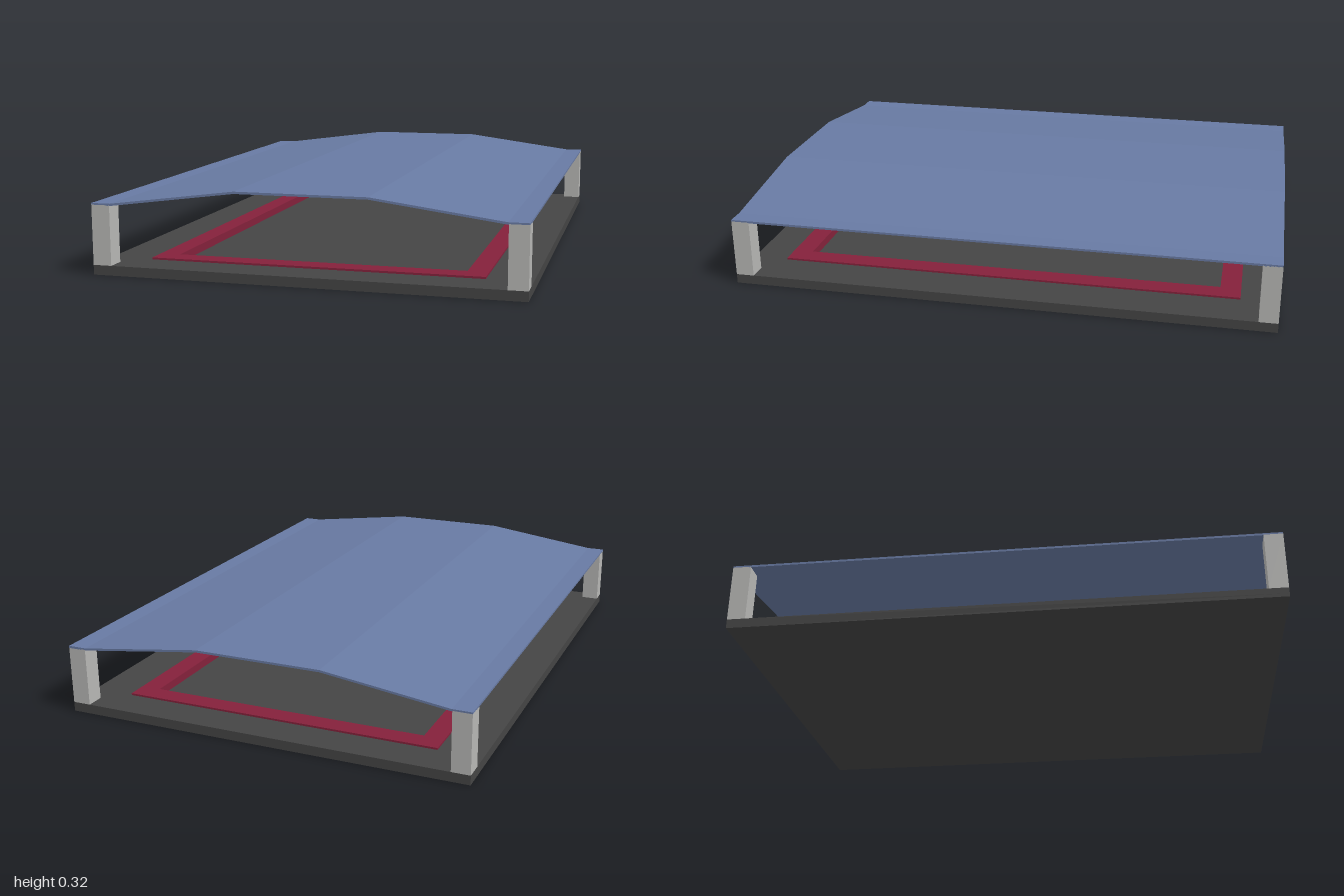
import * as THREE from 'three';

const W = 0.765, D = 1; // half width and half depth

function material(name, color) {
  const m = new THREE.MeshStandardMaterial({ color });
  m.name = name;
  return m;
}

// Rectangular frame lying flat between two heights, with an open middle
function frameGeometry(outX, outZ, inX, inZ, y0, y1) {
  const rect = (x, z) => [[-x, -z], [x, -z], [x, z], [-x, z]].map(p => new THREE.Vector2(...p));
  const shape = new THREE.Shape(rect(outX, outZ));
  shape.holes.push(new THREE.Path(rect(inX, inZ).reverse()));
  return new THREE.ExtrudeGeometry(shape, { depth: y1 - y0, bevelEnabled: false })
    .rotateX(-Math.PI / 2).translate(0, y0, 0);
}

export function createModel() {
  const model = new THREE.Group();
  const gray = material('dark gray', 0x444444);
  const red = material('dark red', 0x84213b);
  const silver = material('light gray', 0xb6b6b4);
  const blue = material('slate blue', 0x687aa3);

  function add(name, geometry, mat) {
    const mesh = new THREE.Mesh(geometry, mat);
    mesh.name = name;
    model.add(mesh);
    return mesh;
  }

  // Base: floor plate with a raised border around a shallow recess
  add('floor', new THREE.BoxGeometry(2 * W, 0.012, 2 * D).translate(0, 0.006, 0), gray);
  add('baseBorder', frameGeometry(W, D, 0.56, 0.82, 0.012, 0.035), gray);

  // Red trim lining the recess
  add('trimTop', frameGeometry(0.605, 0.865, 0.53, 0.79, 0.035, 0.042), red);
  add('trimLining', frameGeometry(0.56, 0.82, 0.53, 0.79, 0.012, 0.035), red);

  // Corner posts
  const post = new THREE.BoxGeometry(0.068, 0.215, 0.068);
  for (const x of [-1, 1]) {
    for (const z of [-1, 1]) {
      add('cornerPost', post, silver).position.set(x * (W - 0.034), 0.1425, z * (D - 0.034));
    }
  }

  // Roof: thin folded sheet running front to back
  const top = [[-W, 0.256], [-0.695, 0.256], [-0.235, 0.317], [0.235, 0.317], [0.695, 0.256], [W, 0.256]];
  const bottom = top.map(([x, y]) => [x, y - 0.008]).reverse();
  const profile = new THREE.Shape([...bottom, ...top].map(p => new THREE.Vector2(...p)));
  add('roof', new THREE.ExtrudeGeometry(profile, { depth: 2 * D, bevelEnabled: false }).translate(0, 0, -D), blue);

  return model;
}
